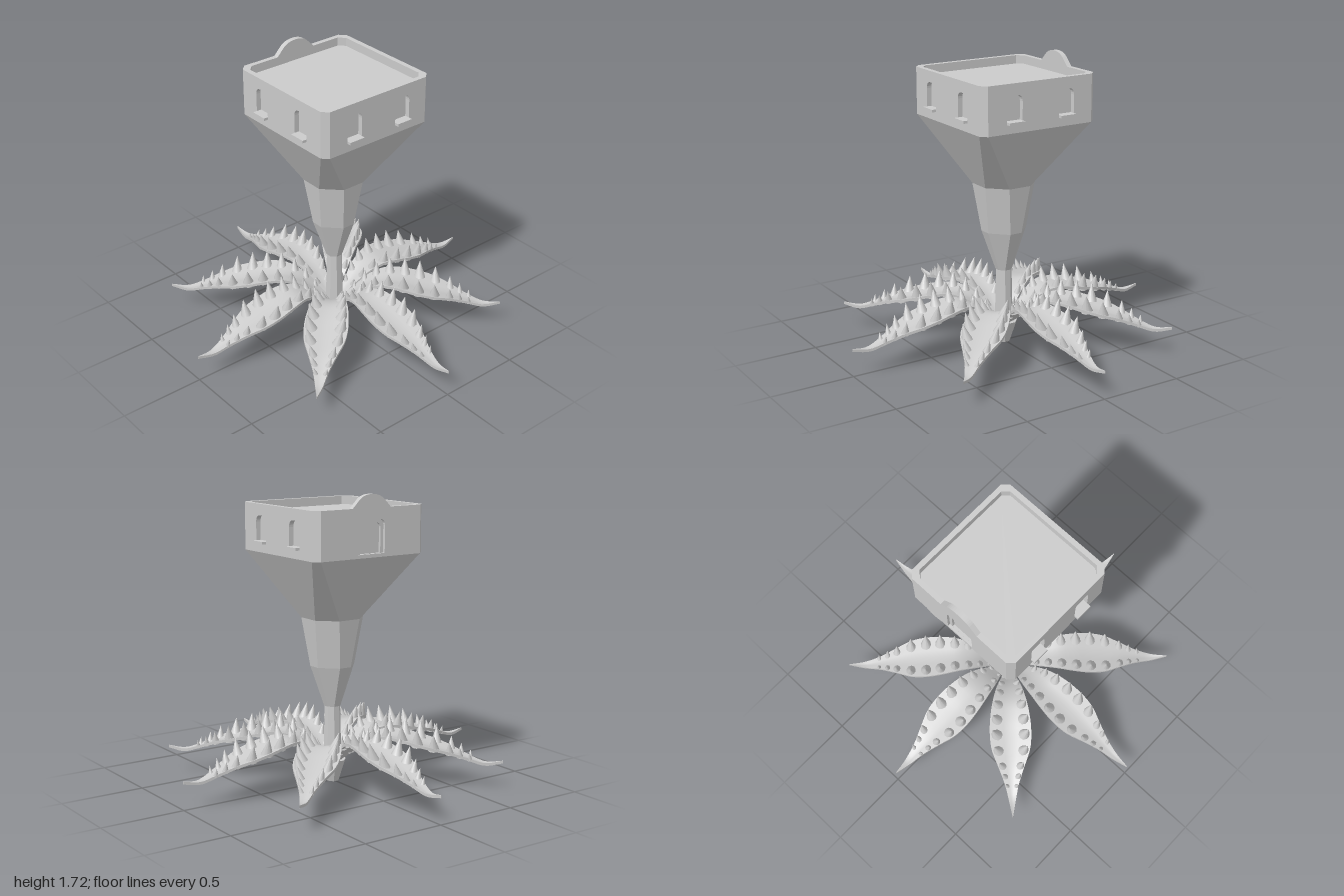
import * as THREE from 'three';

const grey = new THREE.MeshStandardMaterial({ color: 0xcccccc });
const faceted = new THREE.MeshStandardMaterial({ color: 0xcccccc, flatShading: true });

function add(parent, name, geometry, material = grey) {
  const mesh = new THREE.Mesh(geometry, material);
  mesh.name = name;
  parent.add(mesh);
  return mesh;
}

// Corners of a square with cut corners: h = half size, f = half of the flat side
const octagon = (h, f) => [[h, f], [f, h], [-f, h], [-h, f], [-h, -f], [-f, -h], [f, -h], [h, -f]];

// Solid through cut-corner squares, each ring given as [y, h, f]
function loft(rings) {
  const pos = [], index = [];
  rings.forEach(([y, h, f]) => octagon(h, f).forEach(([x, z]) => pos.push(x, y, z)));
  const last = (rings.length - 1) * 8;
  for (let i = 0; i < 8; i++) {
    const j = (i + 1) % 8;
    for (let k = 0; k < last; k += 8) {
      index.push(k + i, k + 8 + i, k + 8 + j, k + i, k + 8 + j, k + j);
    }
    if (i > 0 && i < 7) index.push(0, i, j, last, last + j, last + i);
  }
  const g = new THREE.BufferGeometry();
  g.setAttribute('position', new THREE.Float32BufferAttribute(pos, 3));
  g.setIndex(index);
  const flat = g.toNonIndexed();
  flat.computeVertexNormals();
  return flat;
}

// Opening with a flat foot and a rounded head
function arch(Type, cx, w, y0, y1, r) {
  const a = cx - w / 2, b = cx + w / 2;
  const s = new Type();
  s.moveTo(a, y0);
  s.lineTo(b, y0);
  s.lineTo(b, y1 - r);
  s.quadraticCurveTo(b, y1, b - r, y1);
  s.lineTo(a + r, y1);
  s.quadraticCurveTo(a, y1, a, y1 - r);
  s.closePath();
  return s;
}

const extrude = (shape, depth) =>
  new THREE.ExtrudeGeometry(shape, { depth, bevelEnabled: false, curveSegments: 6 });

const OUT = 0.375, FLAT = 0.34, INNER = 0.345, FLOOR = 1.365, TOP = 1.64;

function makeWall(isBack) {
  const wall = new THREE.Group();
  wall.name = isBack ? 'backWall' : 'windowWall';
  const panel = new THREE.Shape();
  panel.moveTo(-FLAT, FLOOR);
  panel.lineTo(FLAT, FLOOR);
  panel.lineTo(FLAT, TOP);
  if (isBack) {
    // Curved crest above the door
    panel.lineTo(0.13, TOP);
    panel.lineTo(0.08, 1.69);
    panel.quadraticCurveTo(0.05, 1.715, 0, 1.715);
    panel.quadraticCurveTo(-0.05, 1.715, -0.08, 1.69);
    panel.lineTo(-0.13, TOP);
  }
  panel.lineTo(-FLAT, TOP);
  panel.closePath();

  if (isBack) {
    panel.holes.push(arch(THREE.Path, 0, 0.18, 1.385, 1.575, 0.035));
    const frame = arch(THREE.Shape, 0, 0.18, 1.385, 1.575, 0.035);
    frame.holes.push(arch(THREE.Path, 0, 0.14, 1.386, 1.555, 0.03));
    add(wall, 'doorFrame', extrude(frame, 0.015)).position.z = INNER;
  } else {
    for (const x of [-0.17, 0.17]) {
      panel.holes.push(arch(THREE.Path, x, 0.1, 1.415, 1.575, 0.04));
      add(wall, 'windowSill', new THREE.BoxGeometry(0.1, 0.015, 0.055)).position.set(x, 1.423, 0.373);
    }
  }
  add(wall, 'wallPanel', extrude(panel, OUT - INNER)).position.z = INNER;
  return wall;
}

// Leaf spine at even steps of radius: x = radius, y = height, z = half width
const spine = new THREE.CatmullRomCurve3([
  [0, 0.1, 0.02], [0.1, 0.17, 0.038], [0.2, 0.245, 0.075], [0.3, 0.279, 0.102], [0.4, 0.27, 0.12],
  [0.5, 0.247, 0.127], [0.6, 0.224, 0.117], [0.7, 0.2, 0.08], [0.8, 0.168, 0.043],
  [0.9, 0.14, 0.02], [1, 0.157, 0.001],
].map((p) => new THREE.Vector3(...p)), false, 'catmullrom', 0.5);

// Height of the shallow valley section, v = -1..1 across the leaf
const valley = (v, halfWidth) => 0.16 * halfWidth * Math.abs(v);

function leafGeometry() {
  const g = new THREE.BoxGeometry(1, 1, 1, 36, 1, 6);
  const p = g.attributes.position;
  for (let i = 0; i < p.count; i++) {
    const s = spine.getPoint(p.getX(i) + 0.5);
    const v = p.getZ(i) * 2;
    p.setXYZ(i, s.x, s.y + valley(v, s.z) + p.getY(i) * 0.016, s.z * v);
  }
  g.computeVertexNormals();
  return g;
}

function makeLeaf(blade, cone) {
  const leaf = new THREE.Group();
  leaf.name = 'leaf';
  add(leaf, 'leafBlade', blade);
  // Two rows of thorns, sized by the width of the leaf
  for (const r of [0.12, 0.18, 0.25, 0.33, 0.42, 0.51, 0.605, 0.695, 0.755, 0.81]) {
    const s = spine.getPoint(r);
    for (const side of [-1, 1]) {
      const radius = 0.006 + 0.24 * s.z, height = 0.025 + 0.65 * s.z;
      const thorn = add(leaf, 'thorn', cone);
      thorn.scale.set(radius, height, radius);
      thorn.position.set(s.x, s.y + valley(0.66, s.z) - 0.003, side * s.z * 0.66);
      thorn.rotation.x = side * 0.25;
    }
  }
  return leaf;
}

export function createModel() {
  const model = new THREE.Group();
  model.name = 'plantTower';

  // Root, stem and flaring trunk
  add(model, 'root', loft([[0, 0.035, 0.015], [0.13, 0.075, 0.031]]), faceted);
  add(model, 'stem', loft([[0.13, 0.05, 0.02], [0.455, 0.043, 0.018]]), faceted);
  add(model, 'trunk', loft([
    [0.455, 0.046, 0.019], [0.7, 0.13, 0.038], [0.985, 0.17, 0.07], [FLOOR, OUT, FLAT],
  ]), faceted);

  // Room core, whose top is the sunken roof deck
  add(model, 'roofDeck', loft([[FLOOR, INNER + 0.001, 0.31], [1.59, INNER + 0.001, 0.31]]), faceted);

  // Four walls and the cut corner posts between them
  const post = new THREE.Shape([[FLAT, OUT], [0.311, INNER], [INNER, 0.311], [OUT, FLAT]]
    .map(([x, y]) => new THREE.Vector2(x, y)));
  const postGeometry = extrude(post, TOP - FLOOR).rotateX(-Math.PI / 2).translate(0, FLOOR, 0);
  for (let i = 0; i < 4; i++) {
    const wall = makeWall(i === 2);
    wall.rotation.y = i * Math.PI / 2;
    model.add(wall);
    add(model, 'cornerPost', postGeometry).rotation.y = i * Math.PI / 2;
  }

  // Rosette of eight thorny leaves
  const blade = leafGeometry();
  const cone = new THREE.ConeGeometry(1, 1, 10).translate(0, 0.5, 0);
  for (let i = 0; i < 8; i++) {
    const leaf = makeLeaf(blade, cone);
    leaf.rotation.y = i * Math.PI / 4;
    model.add(leaf);
  }
  return model;
}
